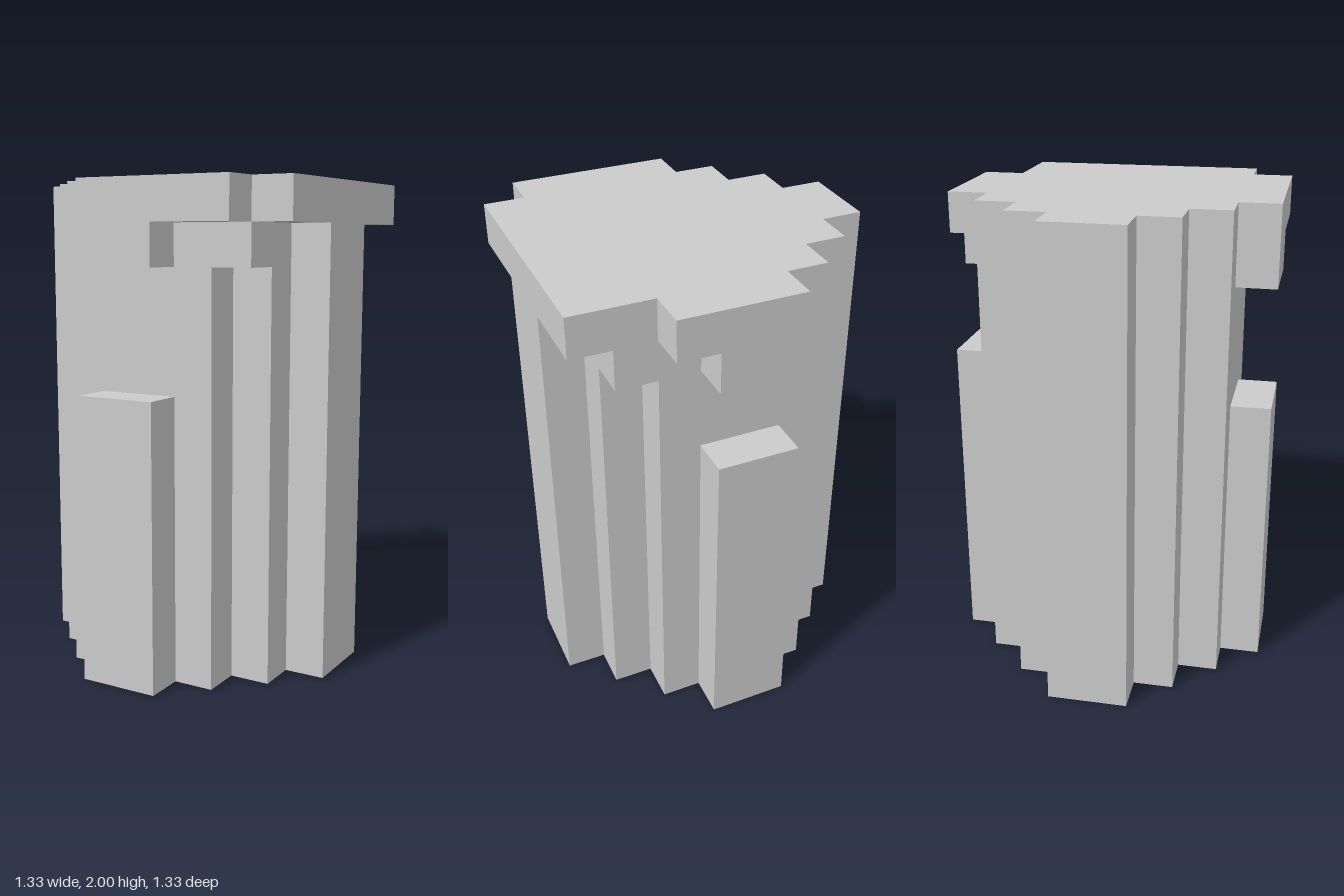
import * as THREE from 'three';

const U = 1 / 6; // edge of one block
const material = new THREE.MeshStandardMaterial({ color: 0xcccccc, flatShading: true });

// Extrudes an outline of [x, z] block corners from y0 up to y1
function layer(name, outline, y0, y1) {
  const shape = new THREE.Shape(outline.map(([x, z]) => new THREE.Vector2(x * U, z * U)));
  const geometry = new THREE.ExtrudeGeometry(shape, { depth: (y1 - y0) * U, bevelEnabled: false });
  geometry.rotateX(Math.PI / 2).translate(0, y1 * U, 0);
  const mesh = new THREE.Mesh(geometry, material);
  mesh.name = name;
  return mesh;
}

// Box spanning block coordinates
function block(name, x0, x1, y0, y1, z0, z1) {
  const geometry = new THREE.BoxGeometry((x1 - x0) * U, (y1 - y0) * U, (z1 - z0) * U);
  geometry.translate((x0 + x1) / 2 * U, (y0 + y1) / 2 * U, (z0 + z1) / 2 * U);
  const mesh = new THREE.Mesh(geometry, material);
  mesh.name = name;
  return mesh;
}

export function createModel() {
  const group = new THREE.Group();
  group.name = 'steppedTrunk';

  // Stepped left edge, shared by all layers
  const leftFront = [[-2, 3], [-2, 2], [-3, 2], [-3, 1], [-4, 1]];
  const leftBack = leftFront.map(([x, z]) => [x, -z]).reverse();

  // Trunk with stepped round section
  const rightBack = [[2, -3], [2, -2], [3, -2], [3, -1], [4, -1]];
  const rightFront = rightBack.map(([x, z]) => [x, -z]).reverse();
  group.add(layer('trunk', [...leftBack, ...rightBack, ...rightFront, ...leftFront], 0, 10));

  // Front and back ribs
  group.add(block('frontRib', -1, 1, 0, 7, 3, 4));
  group.add(block('backRib', -1, 1, 0, 8, -4, -3));

  // Layer under the cap, with hanging drips at front, back and corners
  group.add(layer('capDrips', [
    ...leftBack, [0, -3], [0, -4], [1, -4], [1, -3],
    [3, -3], [3, -1], [4, -1], [4, 1], [3, 1], [3, 3],
    [1, 3], [1, 4], [-1, 4], [-1, 3], ...leftFront,
  ], 10, 11));

  // Overhanging cap
  group.add(layer('cap', [
    ...leftBack, [-1, -3], [-1, -4], [2, -4], [2, -3],
    [4, -3], [4, 3], [3, 3], [3, 4], [-1, 4], [-1, 3], ...leftFront,
  ], 11, 12));

  return group;
}
